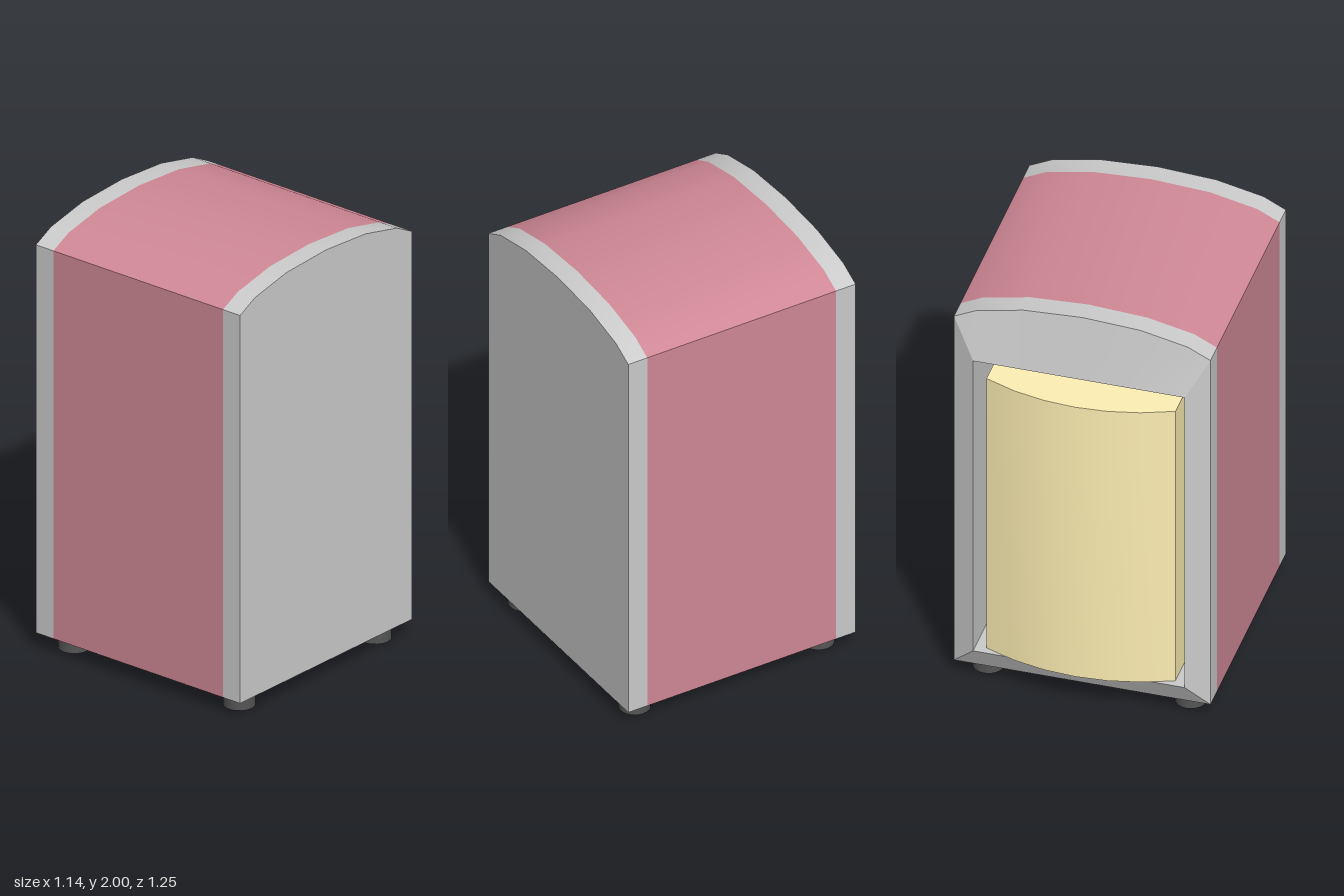
import * as THREE from 'three';
import { toCreasedNormals } from 'three/addons/utils/BufferGeometryUtils.js';

const V = (x, y) => new THREE.Vector2(x, y);

// Arched outline of the case, counter-clockwise from the lower left
const outline = [
  V(-0.57, 0.075), V(0.57, 0.075), V(0.57, 1.89), V(0.47, 1.94), V(0.26, 1.985),
  V(0, 2), V(-0.26, 1.985), V(-0.47, 1.94), V(-0.57, 1.89),
];
// Matching points around the rectangular opening
const opening = outline.map((p, i) => V(p.x * 0.47 / 0.57, i < 2 ? 0.18 : 1.71));

const rect = (x, y0, y1) => [V(-x, y0), V(x, y0), V(x, y1), V(-x, y1)];

function extrude(points, z0, z1, hole) {
  const shape = new THREE.Shape(points);
  if (hole) shape.holes.push(new THREE.Path(hole));
  const g = new THREE.ExtrudeGeometry(shape, { depth: z1 - z0, bevelEnabled: false });
  return toCreasedNormals(g.translate(0, 0, z0), 0.6);
}

// Strip of quads between two closed loops of equal length
function loft(a, za, b, zb) {
  const pos = [];
  a.forEach((p, i) => {
    const j = (i + 1) % a.length;
    const A = [p.x, p.y, za], B = [a[j].x, a[j].y, za];
    const C = [b[j].x, b[j].y, zb], D = [b[i].x, b[i].y, zb];
    pos.push(...A, ...D, ...B, ...B, ...D, ...C);
  });
  const g = new THREE.BufferGeometry();
  g.setAttribute('position', new THREE.Float32BufferAttribute(pos, 3));
  return toCreasedNormals(g, 0.35);
}

export function createModel() {
  const model = new THREE.Group();
  const mat = (color, side = THREE.FrontSide) => new THREE.MeshStandardMaterial({ color, side });
  const grey = mat(0xcccccc);
  const greyDouble = mat(0xcccccc, THREE.DoubleSide);
  const red = mat(0xd08896);
  const cream = mat(0xfff0b4);
  const dark = mat(0x555555);

  const add = (name, geometry, material) => {
    const mesh = new THREE.Mesh(geometry, material);
    mesh.name = name;
    model.add(mesh);
    return mesh;
  };

  // Case: solid front, hollow coloured middle and hollow rear band
  const cavity = rect(0.48, 0.17, 1.72);
  add('frontPanel', extrude(outline, 0.53, 0.625), grey);
  add('coloredShell', extrude(outline, -0.415, 0.53, cavity), red);
  add('rearBand', extrude(outline, -0.513, -0.415, cavity), grey);

  // Sloping frame around the opening, and the walls behind it
  add('openingFrame', loft(outline, -0.513, opening, -0.565), greyDouble);
  const inner = rect(0.47, 0.18, 1.71);
  add('cavityWalls', loft(inner, -0.565, inner, 0.53), greyDouble);

  // Stack of napkins with a bowed rear face
  const stack = [V(-0.42, -0.5), V(0.42, -0.5)];
  for (let i = 3; i >= -3; i--) {
    const x = i * 0.14;
    stack.push(V(x, Math.sqrt(1 - x * x) - 0.375));
  }
  add('napkinStack', extrude(stack, 0.183, 1.605).rotateX(-Math.PI / 2), cream);

  // Four round feet
  const foot = new THREE.CylinderGeometry(0.07, 0.07, 0.08, 24);
  for (const x of [-0.45, 0.45]) {
    for (const z of [-0.4, 0.52]) add('foot', foot, dark).position.set(x, 0.04, z);
  }
  return model;
}
